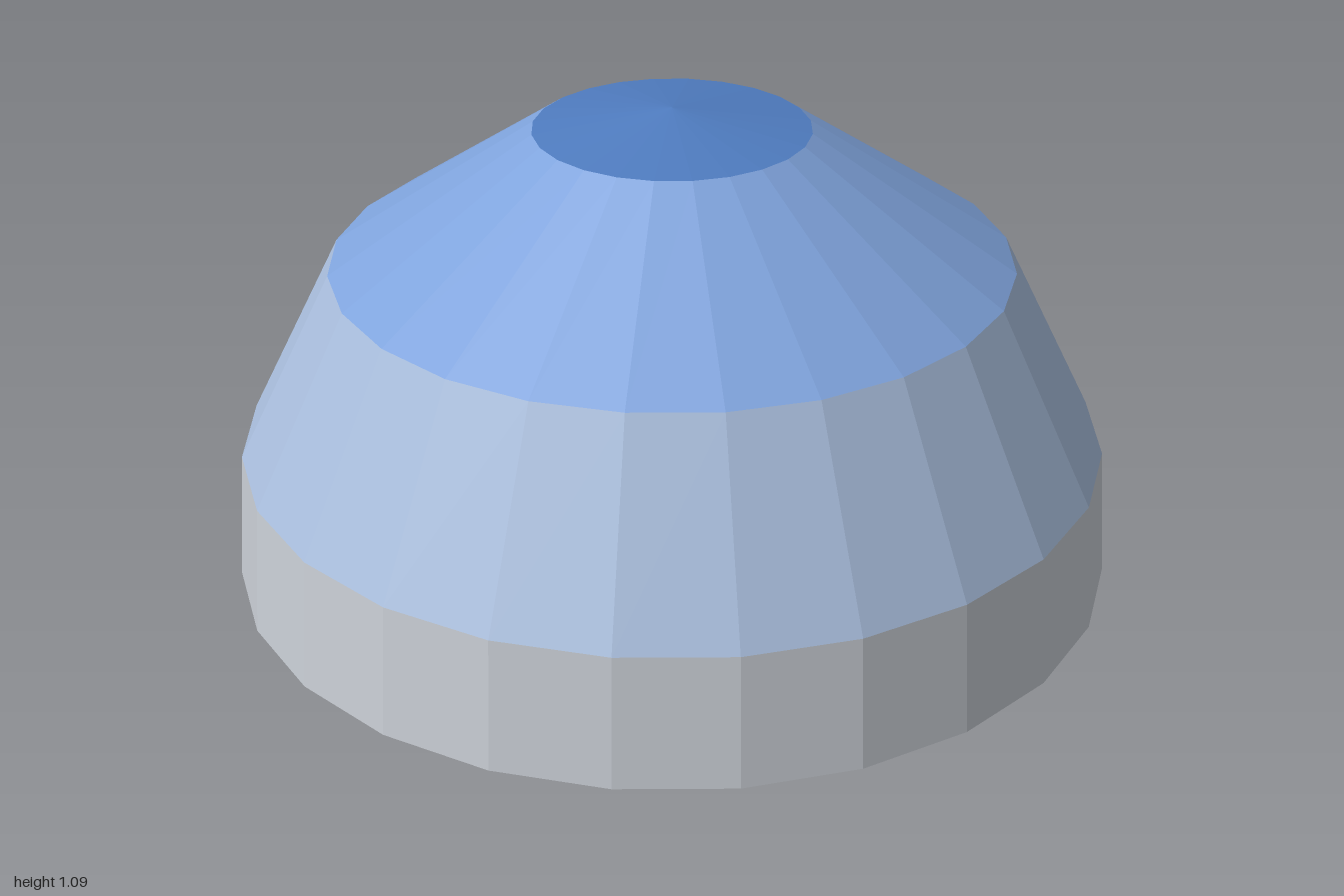
import * as THREE from 'three';

const DEG = Math.PI / 180;
const SIDES = 24;

// Dome bands from the ground up: bottom radius, top radius, bottom y, top y, colour
const BANDS = [
  ['horizonBand', 1, 0.98, 0, 0.3, 0xc9ced5],
  ['lowerSkyBand', 0.98, 0.765, 0.3, 0.735, 0xa9bedd],
  ['upperSkyBand', 0.765, 0.308, 0.735, 1.043, 0x7fa3dc],
  ['zenithCap', 0.308, 0, 1.043, 1.09, 0x4f7cc0],
];

// Inner ring of towers: bearing in degrees, width, height, colour index
const TOWERS = [
  [102, 0.06, 0.32, 1], [121, 0.045, 0.13, 0], [171, 0.05, 0.11, 0], [192, 0.045, 0.12, 2],
  [231, 0.07, 0.2, 0], [249, 0.06, 0.16, 0], [273, 0.07, 0.12, 0], [296, 0.05, 0.22, 0],
  [316, 0.055, 0.19, 0], [354, 0.045, 0.18, 1], [18, 0.06, 0.1, 0], [39, 0.065, 0.2, 0],
  [55, 0.06, 0.1, 2],
];

// Outer skyline over half the circle: bearing offset, height
const SKYLINE = [
  [-87, 0.08], [-79, 0.1], [-69, 0.09], [-61, 0.09], [-51, 0.07], [-45, 0.08], [-37, 0.11],
  [-29, 0.11], [-23, 0.07], [-15, 0.07], [-5.5, 0.045], [6, 0.05], [12, 0.04],
  [16, 0.09], [25.6, 0.07], [38, 0.1], [44, 0.13], [49, 0.08], [57, 0.15],
  [67, 0.06], [77, 0.1],
];

const TONES = [0xb4b0ae, 0xb89a80, 0xa4b0b6];
const BASE_Y = 0.1;

export function createModel() {
  const model = new THREE.Group();
  const buildingMaterials = TONES.map(
    (color) => new THREE.MeshStandardMaterial({ color, flatShading: true }));

  // Open faceted sky dome, visible from inside and outside
  const dome = new THREE.Group();
  dome.name = 'skyDome';
  for (const [name, r0, r1, y0, y1, color] of BANDS) {
    const band = new THREE.Mesh(
      new THREE.CylinderGeometry(r1, r0, y1 - y0, SIDES, 1, true),
      new THREE.MeshStandardMaterial({ color, flatShading: true, side: THREE.DoubleSide }));
    band.position.y = (y0 + y1) / 2;
    band.name = name;
    dome.add(band);
  }
  model.add(dome);

  // Places a box building facing the centre
  function addBuilding(parent, name, bearing, radius, width, height, tone) {
    const a = bearing * DEG;
    const mesh = new THREE.Mesh(
      new THREE.BoxGeometry(width, height, width), buildingMaterials[tone]);
    mesh.position.set(radius * Math.sin(a), BASE_Y + height / 2, radius * Math.cos(a));
    mesh.name = name;
    parent.add(mesh);
  }

  // Inner towers
  const towers = new THREE.Group();
  towers.name = 'innerTowers';
  for (const [bearing, width, height, tone] of TOWERS) {
    addBuilding(towers, 'tower', bearing, 0.45, width, height, tone);
  }
  // Slender mast between the towers
  addBuilding(towers, 'mast', 118, 0.25, 0.008, 0.14, 0);
  model.add(towers);

  // Small distant buildings along the wall, repeated on the opposite half
  const skyline = new THREE.Group();
  skyline.name = 'distantSkyline';
  for (const half of [0, 180]) {
    SKYLINE.forEach(([offset, height], i) => {
      addBuilding(skyline, 'distantBuilding', 325 + half - offset, 0.945,
        0.025 + 0.006 * (i % 3), height, i % 3 === 1 ? 2 : 0);
    });
  }
  model.add(skyline);

  return model;
}
